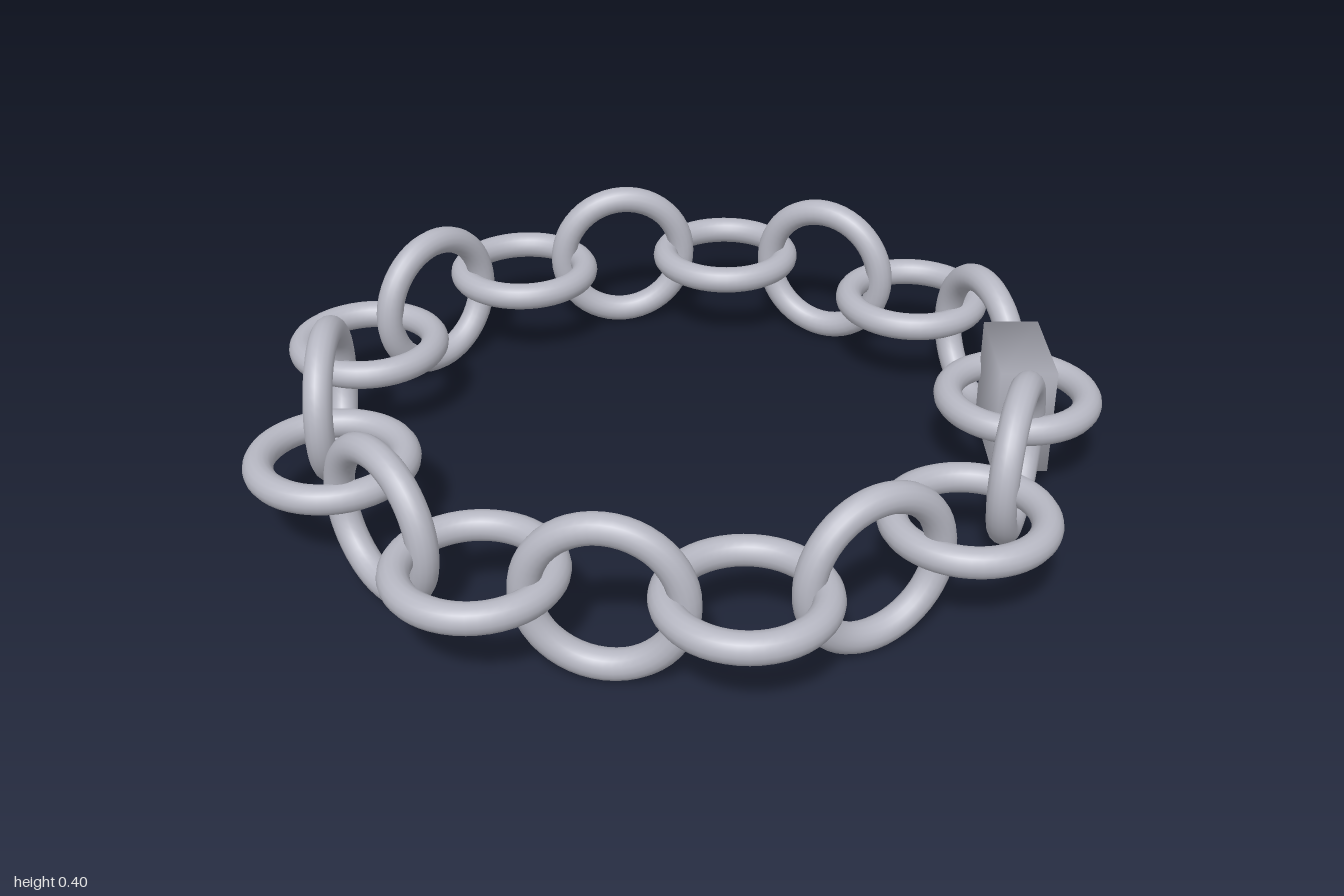
import * as THREE from 'three';
import { mergeVertices } from 'three/addons/utils/BufferGeometryUtils.js';

export function createModel() {
  const model = new THREE.Group();
  model.name = 'chainBracelet';
  const silver = new THREE.MeshStandardMaterial({ color: 0xb6b7c2 });
  silver.name = 'silver';

  const LINKS = 18, RADIUS = 0.814, CENTRE_X = -0.025, HEIGHT = 0.198;
  const linkGeometry = new THREE.TorusGeometry(0.164, 0.034, 16, 48);

  // Round links on a circle, alternately lying flat and standing along the tangent
  for (let i = 0; i < LINKS; i++) {
    const angle = (i / LINKS) * Math.PI * 2;
    const flat = i % 2 === 0;
    const link = new THREE.Mesh(linkGeometry, silver);
    link.name = (flat ? 'flatLink' : 'uprightLink') + (i + 1);
    link.position.set(CENTRE_X + RADIUS * Math.cos(angle), HEIGHT, RADIUS * Math.sin(angle));
    if (flat) link.rotation.x = Math.PI / 2;
    else link.rotation.y = Math.PI / 2 - angle;
    model.add(link);
  }

  // Block clasp with shared corners, so its shading is smooth
  const box = new THREE.BoxGeometry(0.13, 0.26, 0.26);
  box.deleteAttribute('normal');
  box.deleteAttribute('uv');
  const claspGeometry = mergeVertices(box);
  claspGeometry.computeVertexNormals();
  const clasp = new THREE.Mesh(claspGeometry, silver);
  clasp.name = 'clasp';
  clasp.position.set(0.784, 0.2, 0);
  model.add(clasp);

  return model;
}
